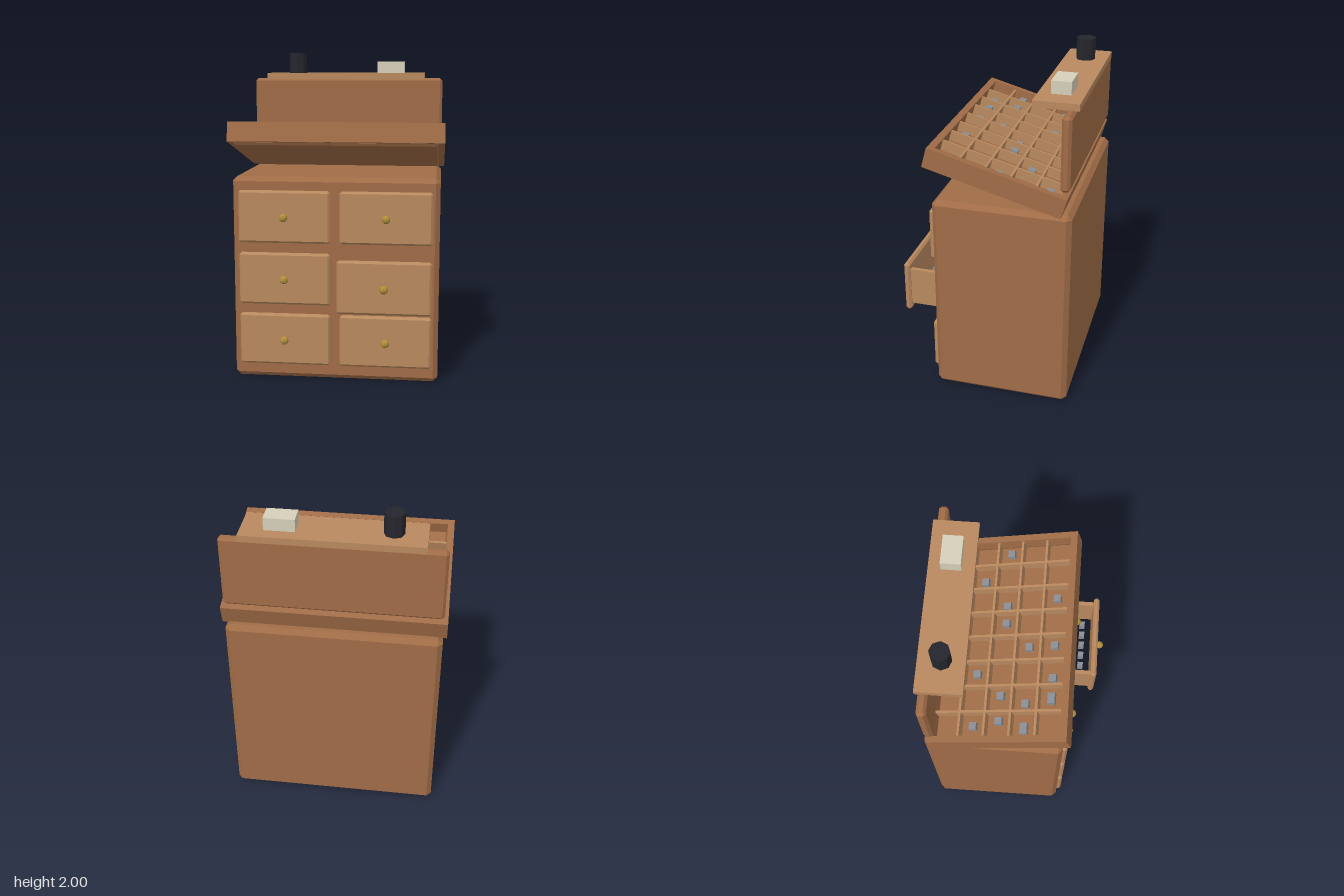
import * as THREE from 'three';
import { ConvexGeometry } from 'three/addons/geometries/ConvexGeometry.js';

const material = (color) => new THREE.MeshStandardMaterial({ color, flatShading: true });

export function createModel() {
  const wood = material(0xa06c47), lightWood = material(0xb9895f), brass = material(0xb08d3a);
  const metal = material(0x8a8e94), ink = material(0x25252d), cream = material(0xd6cfba);
  const model = new THREE.Group();
  model.name = 'typeCabinet';

  function add(parent, name, geometry, mat, x, y, z) {
    const mesh = new THREE.Mesh(geometry, mat);
    mesh.name = name;
    mesh.position.set(x, y, z);
    parent.add(mesh);
    return mesh;
  }
  const box = (w, h, d) => new THREE.BoxGeometry(w, h, d);

  // Box with every edge and corner chamfered by b
  function chamferBox(w, h, d, b) {
    const points = [];
    for (const sx of [-1, 1]) for (const sy of [-1, 1]) for (const sz of [-1, 1]) {
      for (let axis = 0; axis < 3; axis++) {
        const inset = [b, b, b];
        inset[axis] = 0;
        points.push(new THREE.Vector3(
          sx * (w / 2 - inset[0]), sy * (h / 2 - inset[1]), sz * (d / 2 - inset[2])));
      }
    }
    return new ConvexGeometry(points);
  }

  // Cabinet body
  add(model, 'cabinetBody', chamferBox(1.254, 1.255, 0.815, 0.028), wood, 0, 0.63, -0.123);

  // Drawers: two columns of three, the middle one on the left pulled open
  [0.255, 0.635, 1.017].forEach((y, row) => {
    for (const side of [-1, 1]) {
      const open = row === 1 && side === 1;
      const drawer = new THREE.Group();
      drawer.name = open ? 'openDrawer' : 'drawer';
      drawer.position.set(side * 0.308, y, open ? 0.469 : 0.294);
      add(drawer, 'drawerFront', chamferBox(0.557, 0.32, 0.038, 0.013), lightWood, 0, 0, 0);
      add(drawer, 'drawerKnob', new THREE.SphereGeometry(0.026, 8, 6), brass, 0, 0, 0.04);
      if (open) {
        for (const s of [-1, 1]) {
          add(drawer, 'drawerSide', box(0.027, 0.235, 0.3), lightWood, s * 0.247, 0, -0.155);
        }
        for (let i = -2; i <= 2; i++) {
          add(drawer, 'drawerBlock', box(0.035, 0.05, 0.035), metal, i * 0.074, -0.03, -0.084);
        }
      }
      model.add(drawer);
    }
  });

  // Sloping tray with a raised front
  const tray = new THREE.Group();
  tray.name = 'slopingTray';
  tray.position.set(0, 1.42, -0.0925);
  tray.rotation.x = -0.27;
  model.add(tray);
  add(tray, 'trayFloor', chamferBox(1.225, 0.066, 0.79, 0.014), wood, 0, -0.042, 0);
  for (const s of [-1, 1]) {
    add(tray, 'traySide', box(0.04, 0.12, 0.826), wood, s * 0.628, 0, 0);
    add(tray, s > 0 ? 'trayFront' : 'trayBack', box(1.216, 0.12, 0.04), wood, 0, 0, s * 0.393);
  }

  // Dividers: eight columns by five rows
  const cellW = 0.154, cellD = 0.151;
  for (let i = -3; i <= 3; i++) {
    add(tray, 'columnDivider', box(0.014, 0.063, 0.75), lightWood, i * cellW, 0.02, 0);
  }
  for (let i = -1.5; i <= 1.5; i++) {
    add(tray, 'rowDivider', box(1.216, 0.061, 0.014), lightWood, 0, 0.02, i * cellD);
  }

  // Small metal blocks lying in the cells, by row from back to front
  const rows = [
    [-0.25, 0.1, 0.53],
    [-0.54, -0.225, 0.365],
    [-0.51, -0.36, 0.09, 0.2, 0.545],
    [-0.556, -0.41, -0.065],
    [-0.38, -0.26, -0.06, 0.235],
  ];
  rows.forEach((xs, r) => xs.forEach((x) => {
    const w = x === -0.556 || x === -0.38 ? 0.064 : 0.043;
    add(tray, 'typeBlock', box(w, 0.035, 0.042), metal, x, 0.007, (r - 2) * cellD);
  }));

  // Upright back board and the shelf on it
  add(model, 'backBoard', chamferBox(1.254, 0.435, 0.055, 0.016), wood, 0, 1.617, -0.488);
  add(model, 'topShelf', box(1.02, 0.04, 0.262), lightWood, 0, 1.85, -0.403);

  // Ink pot and paper block on the shelf
  add(model, 'inkPot', new THREE.CylinderGeometry(0.058, 0.058, 0.13, 8), ink, -0.325, 1.935, -0.403);
  add(model, 'paperBlock', box(0.175, 0.075, 0.115), cream, 0.292, 1.907, -0.403);

  return model;
}
